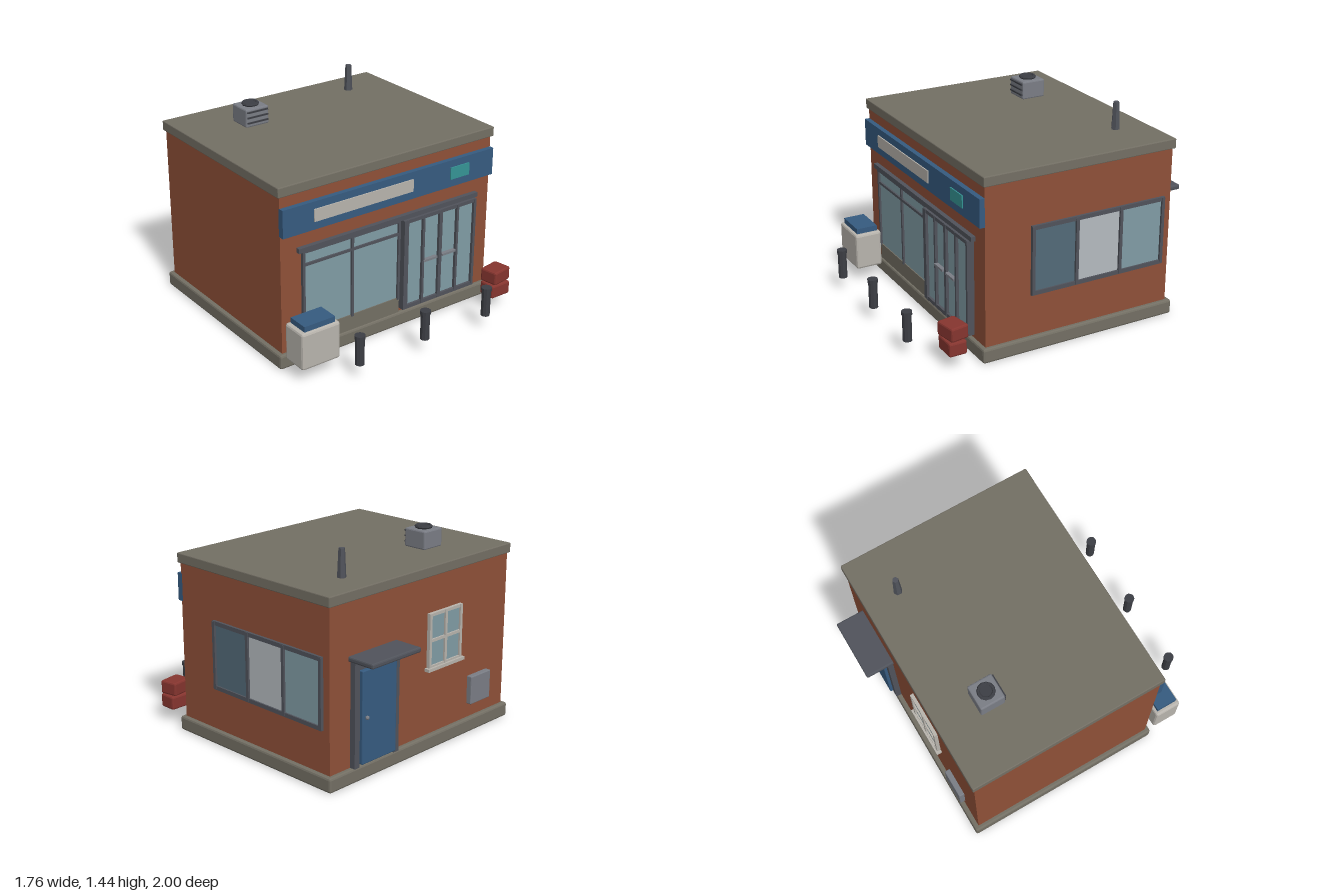
import * as THREE from 'three';
import { RoundedBoxGeometry } from 'three/addons/geometries/RoundedBoxGeometry.js';

const mat = (color) => new THREE.MeshStandardMaterial({ color, flatShading: true });
const M = {
  brick: mat(0x8f5038), concrete: mat(0x736f64), frame: mat(0x50535b), dark: mat(0x3c3e44),
  glass: mat(0x809ca5), darkGlass: mat(0x526a78), blind: mat(0xb4babf), blue: mat(0x365b80),
  pale: mat(0xb8b4ad), teal: mat(0x359495), red: mat(0x86352f), metal: mat(0x7a7d85),
};

export function createModel() {
  const root = new THREE.Group();

  const group = (name, parent = root) => {
    const g = new THREE.Group();
    g.name = name;
    parent.add(g);
    return g;
  };
  const add = (parent, name, geo, material, x, y, z) => {
    const m = new THREE.Mesh(geo, material);
    m.name = name;
    m.position.set(x, y, z);
    parent.add(m);
    return m;
  };
  // Box given by its limits on each axis; a bevel chamfers its edges
  const box = (parent, name, material, x0, x1, y0, y1, z0, z1, bevel = 0) => {
    const s = [x1 - x0, y1 - y0, z1 - z0];
    const geo = bevel ? new RoundedBoxGeometry(...s, 1, bevel) : new THREE.BoxGeometry(...s);
    return add(parent, name, geo, material, (x0 + x1) / 2, (y0 + y1) / 2, (z0 + z1) / 2);
  };
  const cyl = (parent, name, material, rTop, rBottom, y0, y1, x, z, sides) =>
    add(parent, name, new THREE.CylinderGeometry(rTop, rBottom, y1 - y0, sides), material, x, (y0 + y1) / 2, z);

  // Building shell
  const shell = group('building');
  box(shell, 'baseSlab', M.concrete, -0.88, 0.88, 0, 0.1, -0.833, 0.603, 0.014);
  box(shell, 'walls', M.brick, -0.85, 0.85, 0.09, 1.19, -0.8, 0.575);
  box(shell, 'roofSlab', M.concrete, -0.867, 0.867, 1.185, 1.253, -0.815, 0.59, 0.006);

  // Sign band over the shop front
  const sign = group('signBand');
  box(sign, 'band', M.blue, -0.85, 0.85, 0.92, 1.11, 0.566, 0.61);
  box(sign, 'signPanel', M.pale, -0.62, 0.16, 0.975, 1.06, 0.6, 0.618);
  box(sign, 'signBadge', M.teal, 0.475, 0.635, 0.975, 1.06, 0.6, 0.618);

  // Shop window
  const shop = group('shopWindow');
  box(shop, 'glazing', M.glass, -0.69, 0.07, 0.2, 0.77, 0.57, 0.583);
  box(shop, 'stallRiser', M.concrete, -0.695, 0.08, 0.09, 0.21, 0.57, 0.59);
  box(shop, 'lintel', M.frame, -0.73, 0.73, 0.783, 0.815, 0.57, 0.606);
  for (const x of [-0.688, -0.31, 0.07]) box(shop, 'mullion', M.frame, x - 0.009, x + 0.009, 0.2, 0.783, 0.57, 0.597);
  box(shop, 'transom', M.frame, -0.69, 0.07, 0.677, 0.695, 0.57, 0.595);
  box(shop, 'headRail', M.frame, -0.69, 0.07, 0.768, 0.784, 0.57, 0.597);

  // Glazed double entrance with a side light at each end
  const entry = group('entrance');
  box(entry, 'entranceGlass', M.glass, 0.1, 0.7, 0.14, 0.77, 0.57, 0.605);
  for (const [x, w] of [[0.107, 0.036], [0.254, 0.018], [0.4, 0.026], [0.546, 0.018], [0.698, 0.02]])
    box(entry, 'doorStile', M.frame, x - w / 2, x + w / 2, 0.13, 0.78, 0.57, 0.625);
  box(entry, 'headRail', M.frame, 0.09, 0.708, 0.757, 0.782, 0.57, 0.622);
  box(entry, 'threshold', M.frame, 0.09, 0.708, 0.125, 0.152, 0.57, 0.622);
  for (const x of [0.313, 0.474]) box(entry, 'pushBar', M.metal, x - 0.058, x + 0.058, 0.437, 0.452, 0.6, 0.632);

  // Three-pane window on the +x wall
  const side = group('sideWindow');
  const posts = [0.24, -0.08, -0.41, -0.735];
  [M.darkGlass, M.blind, M.glass].forEach((m, i) =>
    box(side, 'pane', m, 0.84, 0.857, 0.4, 0.855, posts[i + 1], posts[i]));
  for (const z of posts) box(side, 'post', M.frame, 0.84, 0.872, 0.395, 0.86, z - 0.011, z + 0.011);
  for (const y of [0.402, 0.85]) box(side, 'rail', M.frame, 0.84, 0.868, y - 0.014, y + 0.014, -0.746, 0.251);

  // Back door with canopy
  const back = group('backDoor');
  box(back, 'doorLeaf', M.blue, 0.315, 0.625, 0.12, 0.74, -0.86, -0.79, 0.006);
  for (const x of [0.29, 0.65]) box(back, 'jamb', M.frame, x - 0.022, x + 0.022, 0.1, 0.8, -0.84, -0.79);
  box(back, 'head', M.frame, 0.268, 0.672, 0.745, 0.8, -0.84, -0.79);
  box(back, 'canopy', M.frame, 0.25, 0.69, 0.803, 0.838, -1, -0.79, 0.01);
  add(back, 'knob', new THREE.SphereGeometry(0.014, 8, 6), M.metal, 0.59, 0.43, -0.868);

  // Small four-light back window
  const win = group('backWindow');
  box(win, 'glazing', M.glass, -0.355, -0.045, 0.57, 0.93, -0.812, -0.79);
  for (const x of [-0.352, -0.2, -0.048]) box(win, 'upright', M.pale, x - 0.011, x + 0.011, 0.56, 0.94, -0.825, -0.79);
  for (const y of [0.575, 0.755, 0.93]) box(win, 'bar', M.pale, -0.36, -0.04, y - 0.01, y + 0.01, -0.823, -0.79);
  box(win, 'sill', M.pale, -0.38, -0.02, 0.55, 0.572, -0.838, -0.79);
  box(root, 'servicePanel', M.metal, -0.67, -0.465, 0.2, 0.4, -0.838, -0.79, 0.006);

  // Rooftop fan unit and flue
  const unit = group('roofUnit');
  box(unit, 'unitBody', M.metal, -0.484, -0.306, 1.25, 1.378, -0.532, -0.358, 0.01);
  for (const y of [1.283, 1.32, 1.357]) box(unit, 'louver', M.dark, -0.475, -0.315, y - 0.005, y + 0.005, -0.37, -0.349);
  cyl(unit, 'fanHub', M.dark, 0.05, 0.05, 1.37, 1.389, -0.395, -0.445, 10);
  const ring = add(unit, 'fanRing', new THREE.TorusGeometry(0.049, 0.012, 6, 12), M.dark, -0.395, 1.387, -0.445);
  ring.rotation.x = Math.PI / 2;
  cyl(root, 'flue', M.frame, 0.021, 0.03, 1.25, 1.44, 0.52, -0.577, 6);

  // Bollards along the front
  for (const x of [-0.525, 0, 0.525]) {
    const b = group('bollard');
    cyl(b, 'post', M.dark, 0.031, 0.031, 0.1, 0.29, x, 0.96, 10);
    cyl(b, 'cap', M.dark, 0.036, 0.036, 0.285, 0.308, x, 0.96, 10);
  }

  // Chest freezer with lid
  const chest = group('chest');
  box(chest, 'chestBody', M.pale, -0.866, -0.576, 0.1, 0.36, 0.637, 0.828, 0.016);
  box(chest, 'chestLid', M.blue, -0.836, -0.604, 0.355, 0.398, 0.657, 0.808);

  // Stacked crates, the upper one turned slightly
  const crates = group('crates');
  box(crates, 'lowerCrate', M.red, 0.703, 0.863, 0.1, 0.195, 0.708, 0.832, 0.012);
  const top = box(crates, 'upperCrate', M.red, 0.704, 0.862, 0.203, 0.298, 0.702, 0.832, 0.012);
  top.rotation.y = 0.17;

  return root;
}
